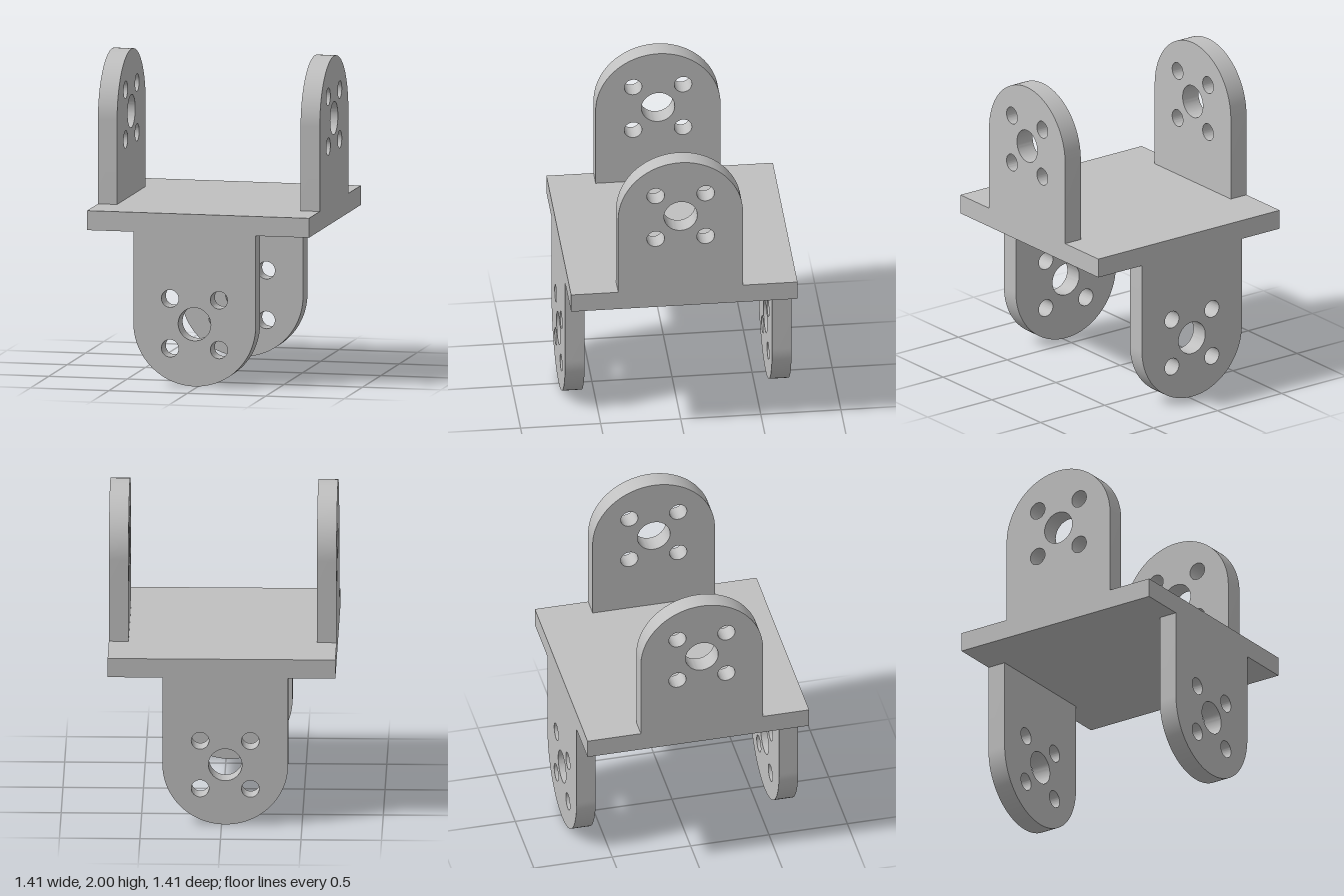
import * as THREE from 'three';
import { toCreasedNormals } from 'three/addons/utils/BufferGeometryUtils.js';

const HALF = 0.707;   // half side of the square plate
const THICK = 0.122;  // thickness of plate and lugs
const RADIUS = 0.39;  // rounded end of each lug
const OFFSET = 0.023; // lugs sit slightly off centre
const BOTTOM = 0.958, TOP = BOTTOM + THICK;

// Upright lug: round end centred on the origin, base at y = -length, centred in z
function lugGeometry(length) {
  const shape = new THREE.Shape();
  shape.moveTo(-RADIUS, -length);
  shape.lineTo(RADIUS, -length);
  shape.lineTo(RADIUS, 0);
  shape.absarc(0, 0, RADIUS, 0, Math.PI, false);
  shape.closePath();

  const addHole = (x, y, r) => {
    const hole = new THREE.Path();
    hole.absarc(x, y, r, 0, Math.PI * 2, true);
    shape.holes.push(hole);
  };
  addHole(0, 0, 0.104);
  for (const x of [-0.156, 0.156]) for (const y of [-0.156, 0.156]) addHole(x, y, 0.055);

  const geometry = new THREE.ExtrudeGeometry(shape, { depth: THICK, bevelEnabled: false, curveSegments: 32 });
  geometry.translate(0, 0, -THICK / 2);
  return toCreasedNormals(geometry, 0.6);
}

export function createModel() {
  const model = new THREE.Group();
  model.name = 'bracket';
  const grey = new THREE.MeshStandardMaterial({ color: 0xc0c0c0 });
  grey.name = 'grey metal';

  const add = (name, geometry) => {
    const mesh = new THREE.Mesh(geometry, grey);
    mesh.name = name;
    model.add(mesh);
    return mesh;
  };

  // Square middle plate
  add('plate', new THREE.BoxGeometry(HALF * 2, THICK, HALF * 2)).position.y = (BOTTOM + TOP) / 2;

  // Upper lugs on the left and right edges, lower lugs on the front and back edges
  const upper = lugGeometry(2 - RADIUS - TOP);
  const lower = lugGeometry(BOTTOM - RADIUS);
  const edge = HALF - THICK / 2;
  for (const side of [1, -1]) {
    const up = add(side > 0 ? 'leftUpperLug' : 'rightUpperLug', upper);
    up.rotation.y = Math.PI / 2;
    up.position.set(side * edge, 2 - RADIUS, OFFSET);

    const down = add(side > 0 ? 'frontLowerLug' : 'backLowerLug', lower);
    down.rotation.z = Math.PI;
    down.position.set(-OFFSET, RADIUS, side * edge);
  }
  return model;
}
